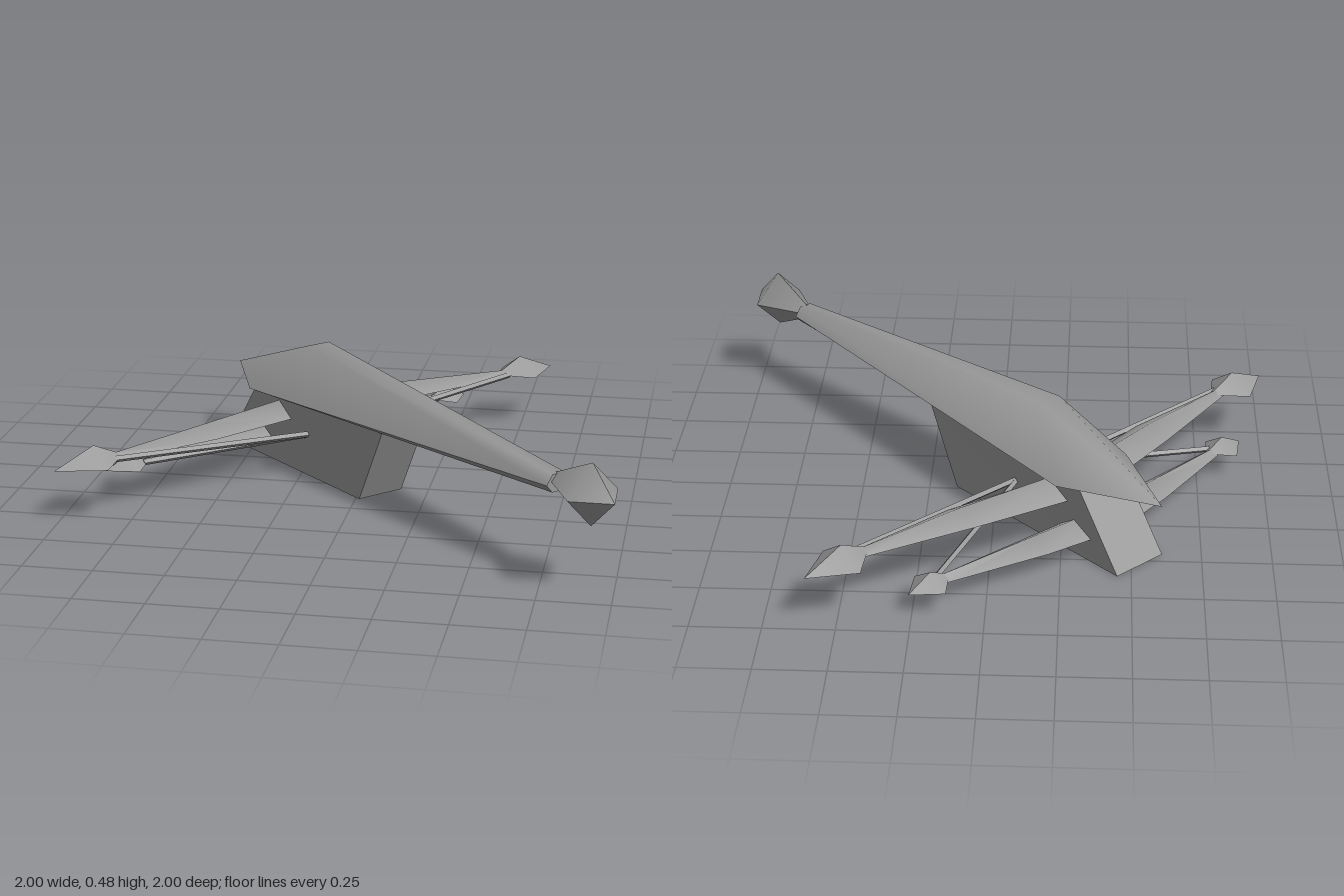
import * as THREE from 'three';
import { toCreasedNormals } from 'three/addons/utils/BufferGeometryUtils.js';

const grey = new THREE.MeshStandardMaterial({ color: 0x999999 });
grey.name = 'grey';

// Closed skin through cross-sections of equal point count, wound outward.
function loft(name, rings, crease = 1.0) {
  const n = rings[0].length;
  const pts = rings.flat().map((p) => new THREE.Vector3(...p));
  const faces = [];
  for (let r = 0; r < rings.length - 1; r++) {
    for (let i = 0; i < n; i++) {
      const a = r * n + i, b = r * n + (i + 1) % n;
      faces.push([a, b, b + n], [a, b + n, a + n]);
    }
  }
  const last = (rings.length - 1) * n;
  for (let i = 1; i < n - 1; i++) {
    faces.push([0, i + 1, i], [last, last + i, last + i + 1]);
  }
  const solid = faces.filter(([a, b, c]) =>
    pts[b].clone().sub(pts[a]).cross(pts[c].clone().sub(pts[a])).length() > 1e-9);
  let volume = 0;
  for (const [a, b, c] of solid) volume += pts[a].dot(pts[b].clone().cross(pts[c]));
  const index = solid.flatMap(([a, b, c]) => (volume < 0 ? [a, c, b] : [a, b, c]));
  const geometry = new THREE.BufferGeometry().setFromPoints(pts);
  geometry.setIndex(index);
  const mesh = new THREE.Mesh(toCreasedNormals(geometry, crease), grey);
  mesh.name = name;
  return mesh;
}

const repeat = (p, n) => Array.from({ length: n }, () => p);

// Thin square bar between two points running mostly along x.
function bar(name, a, b, r) {
  const ring = ([x, y, z]) => [[x, y + r, z], [x, y, z + r], [x, y - r, z], [x, y, z - r]];
  return loft(name, [ring(a), ring(b)], 0.5);
}

// One spar, its end pod and its brace, on the side given by s (+1 or -1).
function outrigger(name, s, { stations, pod, brace }) {
  const group = new THREE.Group();
  group.name = name;
  // station: x, base y, ridge y, front z, ridge z, rear z
  group.add(loft('spar', stations.map(([x, y, top, front, mid, rear]) =>
    [[s * x, y, front], [s * x, top, mid], [s * x, y, rear]]), 1.3));
  const { inner, middle, tip, y, height, z, half } = pod;
  group.add(loft('pod', [
    repeat([s * inner, y + 0.01, z], 4),
    [[s * middle, y + height, z], [s * middle, y, z + half],
      [s * middle, y - 0.004, z], [s * middle, y, z - half]],
    repeat([s * tip, y, z], 4),
  ], 1.0));
  group.add(bar('brace', [s * brace[0], brace[1], brace[2]], [s * 0.09, 0.162, -0.21], 0.012));
  return group;
}

export function createModel() {
  const model = new THREE.Group();
  model.name = 'model';
  const craft = new THREE.Group();
  craft.name = 'craft';
  craft.rotation.y = Math.PI / 4; // the long axis lies on the diagonal
  model.add(craft);

  // Long tapering hull with a pointed tail
  craft.add(loft('hull', [
    repeat([0, 0.278, -0.848], 6),
    [[0.175, 0.282, -0.5], [0.045, 0.482, -0.285], [-0.045, 0.482, -0.285],
      [-0.175, 0.282, -0.5], [-0.09, 0.278, -0.5], [0.09, 0.278, -0.5]],
    [[0.05, 0.34, 1.13], [0.025, 0.375, 1.13], [-0.025, 0.375, 1.13],
      [-0.05, 0.34, 1.13], [-0.025, 0.312, 1.13], [0.025, 0.312, 1.13]],
  ], 1.1));

  // Diamond at the bow
  craft.add(loft('bowDiamond', [
    repeat([0, 0.35, 1.06], 4),
    [[0, 0.46, 1.3], [0.108, 0.35, 1.305], [0, 0.24, 1.3], [-0.108, 0.35, 1.305]],
    repeat([0, 0.35, 1.414], 4),
  ], 1.0));

  // Raked keel block under the hull
  const keelRing = (y, w, back, wf, front) =>
    [[-w, y, back], [w, y, back], [wf, y, front], [-wf, y, front]];
  craft.add(loft('keel', [
    keelRing(0, 0.113, -0.75, 0.095, 0.115),
    keelRing(0.3, 0.113, -0.53, 0.095, 0.262),
  ], 0.5));

  // Two pairs of outriggers
  const upper = {
    stations: [
      [0.08, 0.195, 0.252, -0.32, -0.4, -0.5],
      [0.47, 0.2, 0.242, -0.26, -0.335, -0.42],
      [0.9, 0.2, 0.222, -0.26, -0.285, -0.31],
    ],
    pod: { inner: 0.85, middle: 0.97, tip: 1.131, y: 0.2, height: 0.067, z: -0.285, half: 0.1 },
    brace: [0.9, 0.207, -0.262],
  };
  const lower = {
    stations: [
      [0.08, 0.09, 0.135, -0.46, -0.53, -0.62],
      [0.29, 0.09, 0.13, -0.45, -0.51, -0.587],
      [0.68, 0.09, 0.112, -0.44, -0.465, -0.49],
    ],
    pod: { inner: 0.64, middle: 0.73, tip: 0.828, y: 0.09, height: 0.05, z: -0.462, half: 0.08 },
    brace: [0.68, 0.1, -0.443],
  };
  for (const [side, s] of [['left', 1], ['right', -1]]) {
    craft.add(outrigger(side + 'UpperOutrigger', s, upper));
    craft.add(outrigger(side + 'LowerOutrigger', s, lower));
  }
  return model;
}
